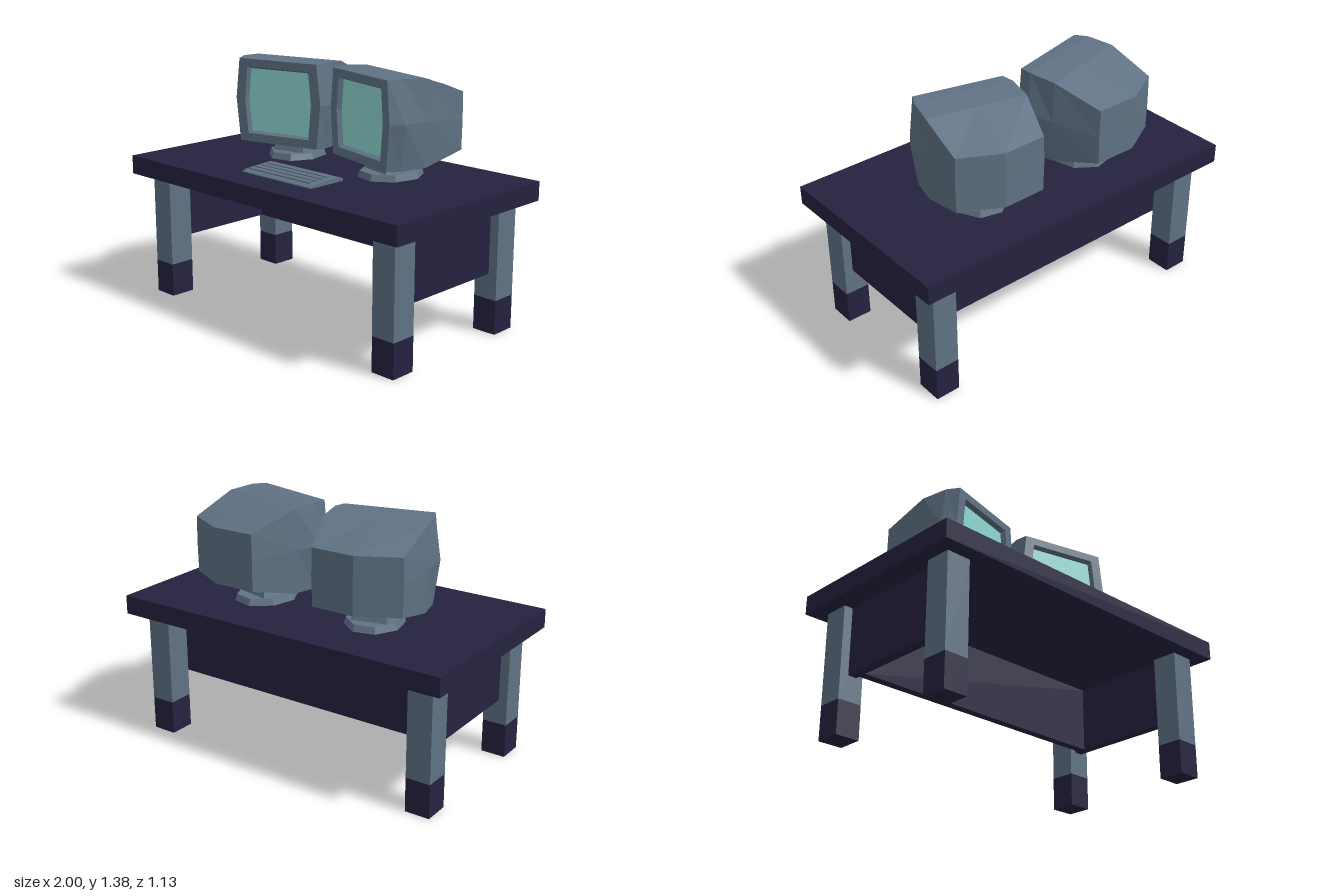
import * as THREE from 'three';

const material = (name, color) => {
  const m = new THREE.MeshStandardMaterial({ color, flatShading: true });
  m.name = name;
  return m;
};

function add(parent, name, geometry, mat, x = 0, y = 0, z = 0) {
  const mesh = new THREE.Mesh(geometry, mat);
  mesh.name = name;
  mesh.position.set(x, y, z);
  parent.add(mesh);
  return mesh;
}

// Box given by its min and max corners
function block(parent, name, mat, [x0, y0, z0], [x1, y1, z1]) {
  return add(parent, name, new THREE.BoxGeometry(x1 - x0, y1 - y0, z1 - z0), mat,
    (x0 + x1) / 2, (y0 + y1) / 2, (z0 + z1) / 2);
}

// Eight-point cross-section with bowed sides; ridge pushes the centre points in z
function ring(z, corner, bow, y0, y1, ridge = 0) {
  const mid = (y0 + y1) / 2 + 0.01;
  return [[-corner, y0, z], [0, y0, z + ridge], [corner, y0, z], [bow, mid, z],
    [corner, y1, z], [0, y1, z + ridge], [-corner, y1, z], [-bow, mid, z]];
}

// Skin from the back ring to the front ring, with optional end caps
function loft(rings, capBack, capFront) {
  const n = rings[0].length;
  const index = [];
  for (let r = 0; r < rings.length - 1; r++) {
    for (let i = 0; i < n; i++) {
      const a = r * n + i, b = r * n + (i + 1) % n;
      index.push(a, b, b + n, a, b + n, a + n);
    }
  }
  for (let k = 1; k < n - 1; k++) {
    const p = (k + 1) % n, q = (k + 2) % n, last = (rings.length - 1) * n;
    if (capBack) index.push(1, q, p);
    if (capFront) index.push(last + 1, last + p, last + q);
  }
  const g = new THREE.BufferGeometry();
  g.setAttribute('position', new THREE.Float32BufferAttribute(rings.flat(2), 3));
  g.setIndex(index);
  g.computeVertexNormals();
  return g;
}

export function createModel() {
  const model = new THREE.Group();
  model.name = 'computerDesk';
  const dark = material('darkIndigo', 0x25223f);
  const grey = material('slateGrey', 0x5f7284);
  const teal = material('screenTeal', 0x8fd8d2);

  // Desk: top, legs with dark feet, side and back panels
  const desk = new THREE.Group();
  desk.name = 'desk';
  model.add(desk);
  block(desk, 'deskTop', dark, [-1, 0.71, -0.565], [1, 0.815, 0.565]);
  for (const sx of [-1, 1]) {
    for (const sz of [-1, 1]) {
      const x = sx * 0.846, z = sz * 0.407;
      add(desk, 'leg', new THREE.BoxGeometry(0.14, 0.52, 0.146), grey, x, 0.45, z);
      add(desk, 'foot', new THREE.BoxGeometry(0.14, 0.19, 0.146), dark, x, 0.095, z);
    }
    add(desk, 'sidePanel', new THREE.BoxGeometry(0.05, 0.38, 0.68), dark, sx * 0.84, 0.52, 0);
  }
  block(desk, 'backPanel', dark, [-0.82, 0.33, -0.31], [0.82, 0.71, -0.26]);

  // Two monitors turned towards the middle
  for (const side of [-1, 1]) {
    const monitor = new THREE.Group();
    monitor.name = side > 0 ? 'leftMonitor' : 'rightMonitor';
    monitor.position.x = side * 0.325;
    monitor.rotation.y = -side * 0.24;
    model.add(monitor);

    const recess = ring(0.05, 0.19, 0.208, 0.965, 1.32);
    add(monitor, 'monitorCase', loft([
      ring(-0.41, 0.238, 0.242, 0.965, 1.275, -0.06),
      ring(-0.15, 0.275, 0.288, 0.907, 1.37),
      ring(0, 0.272, 0.305, 0.905, 1.38),
      ring(0.078, 0.25, 0.275, 0.908, 1.376),
      ring(0.078, 0.198, 0.216, 0.955, 1.332),
      recess,
    ], true, false), grey);
    add(monitor, 'screen', loft([recess], false, true), teal);

    // Stand: tapered neck on an eight-sided foot
    const neck = new THREE.CylinderGeometry(0.115, 0.145, 0.07, 4);
    neck.rotateY(Math.PI / 4);
    add(monitor, 'standNeck', neck, grey, 0, 0.878, -0.128);
    const foot = new THREE.CylinderGeometry(0.175, 0.188, 0.036, 8);
    foot.rotateY(Math.PI / 8);
    foot.scale(0.85, 1, 1);
    add(monitor, 'standFoot', foot, grey, 0, 0.832, -0.128);
  }

  // Keyboard: sloped body with rows of keys
  const keyboard = new THREE.Group();
  keyboard.name = 'keyboard';
  model.add(keyboard);
  const profile = new THREE.Shape([[-0.385, 0.814], [-0.145, 0.814], [-0.145, 0.83],
    [-0.18, 0.841], [-0.36, 0.829], [-0.385, 0.82]].map(([z, y]) => new THREE.Vector2(z, y)));
  const body = new THREE.ExtrudeGeometry(profile, { depth: 0.52, bevelEnabled: false });
  body.rotateY(Math.PI / 2);
  add(keyboard, 'keyboardBody', body, grey, -0.26, 0, 0);
  for (let i = 0; i < 4; i++) {
    const row = add(keyboard, 'keyRow', new THREE.BoxGeometry(0.46, 0.014, 0.032), grey,
      -0.01, 0.838 - i * 0.0028, 0.21 + i * 0.042);
    row.rotation.x = 0.067;
  }
  return model;
}
